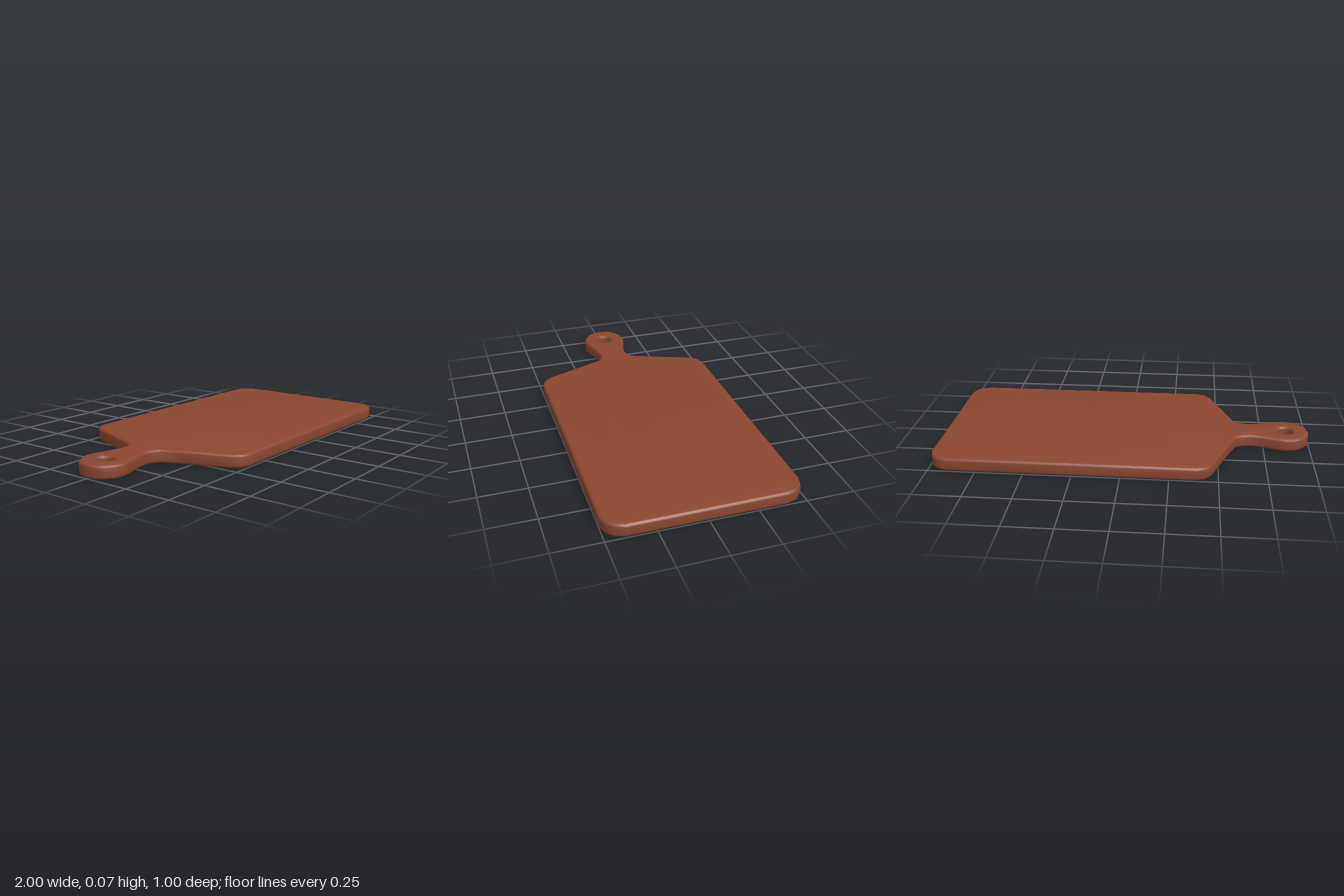
import * as THREE from 'three';
import { toCreasedNormals } from 'three/addons/utils/BufferGeometryUtils.js';

const THICKNESS = 0.07;
const BEVEL = 0.014;

export function createModel() {
  const group = new THREE.Group();
  group.name = 'cuttingBoard';
  const wood = new THREE.MeshStandardMaterial({ color: 0x8a4730 });
  wood.name = 'reddish brown wood';

  // One half of the outline, from the handle tip to the far end
  const half = [
    [-0.99, 0.055], [-0.962, 0.088], [-0.92, 0.116], [-0.87, 0.125],
    [-0.82, 0.116], [-0.74, 0.09], [-0.685, 0.08], [-0.64, 0.084], [-0.6, 0.105],
    [-0.56, 0.2], [-0.466, 0.445], [-0.432, 0.484], [-0.385, 0.5],
    [0.9, 0.5], [0.95, 0.484], [0.984, 0.45], [1, 0.4],
  ];
  const mirrored = half.map(([x, y]) => [x, -y]).reverse();
  const outline = [[-1, 0], ...mirrored.reverse(), ...half.slice().reverse()];
  const shape = new THREE.Shape(outline.map(([x, y]) => new THREE.Vector2(x, y)));

  // Hanging hole in the handle
  const hole = new THREE.Path();
  hole.absarc(-0.873, 0, 0.044, 0, Math.PI * 2, true);
  shape.holes.push(hole);

  // Board and handle in one slab with rounded edges
  const slab = new THREE.ExtrudeGeometry(shape, {
    depth: THICKNESS - 2 * BEVEL,
    bevelEnabled: true,
    bevelThickness: BEVEL,
    bevelSize: BEVEL,
    bevelOffset: -BEVEL,
    bevelSegments: 3,
    curveSegments: 10,
  });
  slab.translate(0, 0, BEVEL);
  slab.rotateX(-Math.PI / 2);

  const board = new THREE.Mesh(toCreasedNormals(slab, 0.75), wood);
  board.name = 'boardWithHandle';
  group.add(board);
  return group;
}
